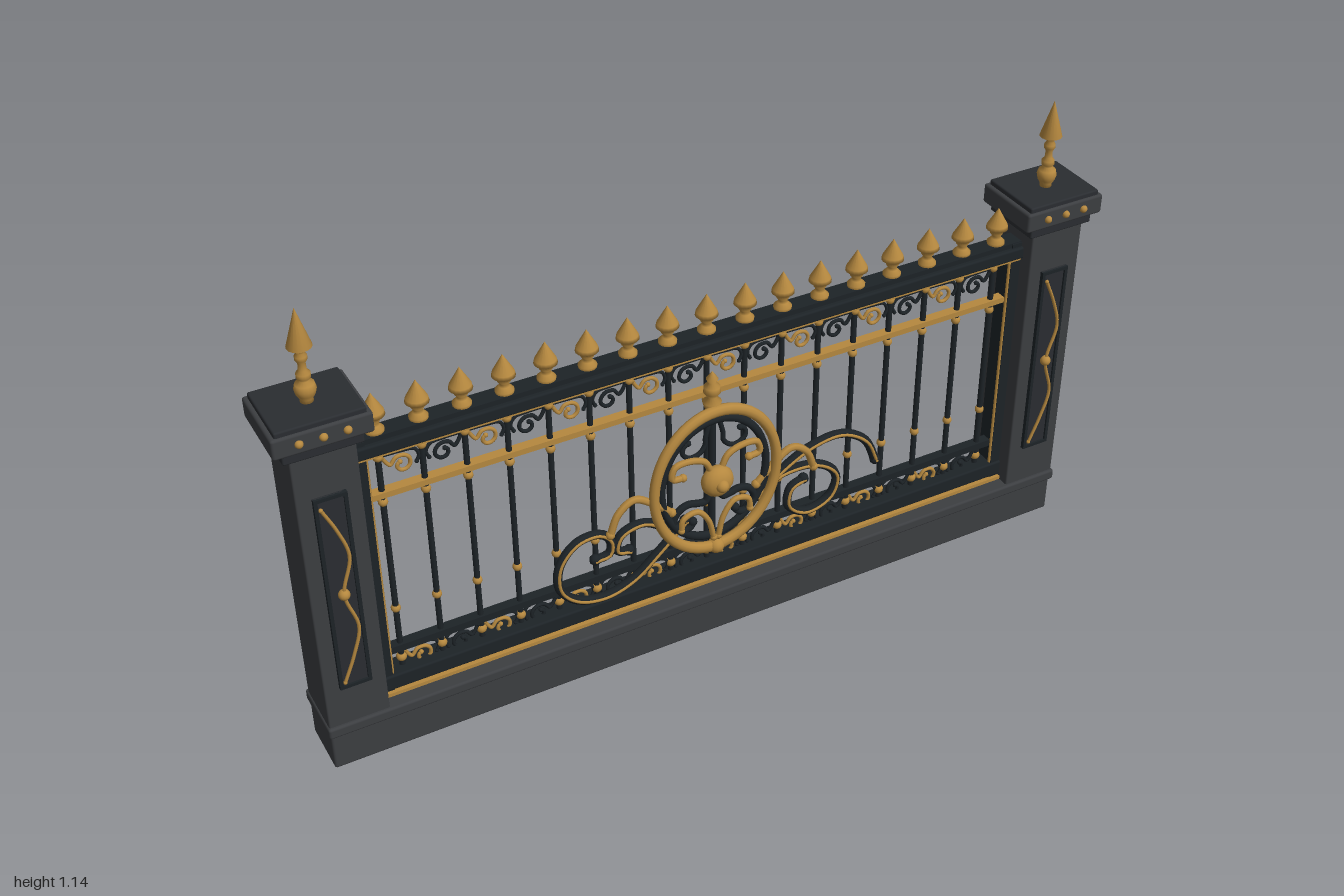
import * as THREE from 'three';
import { RoundedBoxGeometry } from 'three/addons/geometries/RoundedBoxGeometry.js';

const stone = new THREE.MeshStandardMaterial({ color: 0x3c3e41 });
const iron = new THREE.MeshStandardMaterial({ color: 0x1d2327 });
const darkStone = new THREE.MeshStandardMaterial({ color: 0x2a2d31 });
const gold = new THREE.MeshStandardMaterial({ color: 0xb5883f });

function add(parent, name, geometry, material, x = 0, y = 0, z = 0) {
  const mesh = new THREE.Mesh(geometry, material);
  mesh.name = name;
  mesh.position.set(x, y, z);
  parent.add(mesh);
  return mesh;
}

// Box given by its limits, with softened edges when r > 0
function block(parent, name, material, [x0, x1], [y0, y1], [z0, z1], r = 0) {
  const s = [x1 - x0, y1 - y0, z1 - z0];
  const geo = r ? new RoundedBoxGeometry(...s, 2, r) : new THREE.BoxGeometry(...s);
  return add(parent, name, geo, material, (x0 + x1) / 2, (y0 + y1) / 2, (z0 + z1) / 2);
}

const ball = (parent, name, r, x, y, z = 0, mat = gold) =>
  add(parent, name, new THREE.SphereGeometry(r, 14, 10), mat, x, y, z);

const lathe = (profile, sides = 16) =>
  new THREE.LatheGeometry(profile.map(p => new THREE.Vector2(...p)), sides);

// Bent bar through 2D points at depth z, with ball ends
function bar(parent, name, points, r, mat, z = 0) {
  const curve = new THREE.CatmullRomCurve3(points.map(p => new THREE.Vector3(p[0], p[1], z)));
  add(parent, name, new THREE.TubeGeometry(curve, points.length * 5, r, 7), mat);
  for (const p of [points[0], points[points.length - 1]]) {
    add(parent, name + 'End', new THREE.SphereGeometry(r * 1.25, 8, 6), mat, p[0], p[1], z);
  }
}

function spiral(cx, cy, r0, r1, a0, a1, n = 9) {
  return Array.from({ length: n + 1 }, (_, i) => {
    const t = i / n, r = r0 + (r1 - r0) * t, a = a0 + (a1 - a0) * t;
    return [cx + r * Math.cos(a), cy + r * Math.sin(a)];
  });
}

// Stone post with cap, front panel and finial
function makePost(x) {
  const post = new THREE.Group();
  post.name = 'post';
  post.position.x = x;
  block(post, 'postShaft', stone, [-0.07, 0.07], [0.12, 0.85], [-0.075, 0.062], 0.004);
  block(post, 'capNeck', darkStone, [-0.085, 0.085], [0.845, 0.875], [-0.086, 0.072], 0.004);
  block(post, 'cap', stone, [-0.105, 0.105], [0.87, 0.918], [-0.093, 0.083], 0.006);
  block(post, 'capTop', darkStone, [-0.095, 0.095], [0.912, 0.93], [-0.085, 0.077], 0.004);
  for (const dx of [-0.05, 0, 0.05]) ball(post, 'capStud', 0.009, dx, 0.895, 0.084);

  block(post, 'panel', darkStone, [-0.035, 0.035], [0.23, 0.74], [0.06, 0.067]);
  for (const s of [-1, 1]) {
    block(post, 'panelSide', iron, [s * 0.032 - 0.004, s * 0.032 + 0.004], [0.23, 0.74], [0.06, 0.072]);
    const y = 0.485 + s * 0.251;
    block(post, 'panelEnd', iron, [-0.035, 0.035], [y - 0.004, y + 0.004], [0.06, 0.072]);
  }
  bar(post, 'panelWave', [[-0.024, 0.715], [0.004, 0.65], [0.022, 0.58], [0, 0.485],
    [0.022, 0.39], [0.004, 0.32], [-0.024, 0.25]], 0.004, gold, 0.074);
  ball(post, 'panelStud', 0.013, 0, 0.485, 0.073);

  add(post, 'postFinial', lathe([[0, 0.925], [0.014, 0.925], [0.014, 0.938], [0.02, 0.948], [0.023, 0.96],
    [0.02, 0.972], [0.01, 0.979], [0.015, 0.986], [0.015, 0.996], [0.009, 1.003], [0.008, 1.02],
    [0.013, 1.028], [0.013, 1.036], [0.009, 1.043], [0.011, 1.055], [0.026, 1.058], [0, 1.145]]), gold);
  return post;
}

// Upright bar with collars and a spearhead on the top rail
function makePicket(x) {
  const picket = new THREE.Group();
  picket.name = 'picket';
  picket.position.x = x;
  add(picket, 'picketBar', new THREE.CylinderGeometry(0.007, 0.007, 0.62, 8), iron, 0, 0.47);
  ball(picket, 'lowKnob', 0.011, 0, 0.34);
  ball(picket, 'collar', 0.011, 0, 0.63);
  ball(picket, 'topKnob', 0.011, 0, 0.745);
  ball(picket, 'footKnob', 0.012, 0, 0.2);
  add(picket, 'spearhead', lathe([[0, 0.805], [0.02, 0.805], [0.021, 0.818], [0.012, 0.827], [0.01, 0.833],
    [0.015, 0.84], [0.012, 0.846], [0.026, 0.853], [0.024, 0.862], [0, 0.905]]), gold);
  return picket;
}

// Small curls filling one bay, in the upper or lower border
function bayScroll(parent, x, y, flip, mat) {
  const mirror = pts => pts.map(([px, py]) => [x + px * flip, y + py]);
  bar(parent, 'borderCurl', mirror([[-0.04, 0.03], [-0.03, 0.012],
    ...spiral(0.002, 0, 0.026, 0.008, 2.9, -4.2)]), 0.0045, mat);
  bar(parent, 'borderHook', mirror([[-0.04, 0.035], [0, 0.034], [0.03, 0.03], [0.04, 0.012], [0.034, -0.004]]), 0.004, iron);
}

// Oval centrepiece with rosette and inner scrolls
function makeCentrepiece() {
  const group = new THREE.Group();
  group.name = 'centrepiece';
  const y = 0.435;
  const ovals = [['outerOval', 0.158, 0.012, gold, 0.045], ['innerOval', 0.135, 0.009, iron, 0.036]];
  for (const [name, r, tube, mat, z] of ovals) {
    add(group, name, new THREE.TorusGeometry(r, tube, 10, 56), mat, 0, y, z).scale.y = 1.2;
  }
  add(group, 'centreStem', new THREE.CylinderGeometry(0.009, 0.009, 0.44, 8), iron, 0, 0.43, 0.025);
  const rosette = ball(group, 'rosette', 0.04, 0, y, 0.05);
  rosette.scale.z = 0.7;
  ball(group, 'rosetteBoss', 0.016, 0, y, 0.073);
  ball(group, 'ovalFoot', 0.02, 0, 0.245, 0.045);
  add(group, 'ovalCrest', lathe([[0, 0.62], [0.018, 0.625], [0.022, 0.64], [0.01, 0.652], [0.02, 0.665],
    [0.019, 0.68], [0.009, 0.69], [0.014, 0.7], [0, 0.72]]), gold, 0, 0, 0.025);

  for (const s of [-1, 1]) {
    const m = pts => pts.map(([px, py]) => [px * s, py]);
    bar(group, 'upperLeaf', m([[0.012, 0.46], [0.03, 0.495], [0.07, 0.51], [0.105, 0.505], [0.112, 0.475], [0.085, 0.47]]), 0.008, gold, 0.045);
    bar(group, 'upperScroll', m([[0.01, 0.6], [0.02, 0.565], ...spiral(0.06, 0.54, 0.04, 0.014, 2.8, 7.4)]), 0.006, iron, 0.035);
    bar(group, 'lowerScroll', m([[0.012, 0.41], [0.022, 0.375], ...spiral(0.07, 0.335, 0.05, 0.016, 2.2, -2.7)]), 0.009, iron, 0.035);
    bar(group, 'lowerLeaf', m([[0.006, 0.27], [0.02, 0.325], [0.05, 0.36], [0.085, 0.35], [0.09, 0.32]]), 0.007, gold, 0.045);
    // Gilded arches springing outside the oval
    bar(group, 'sideArch', m([[0.265, 0.37], [0.245, 0.42], [0.205, 0.447], [0.165, 0.425], [0.11, 0.375]]), 0.009, gold, 0.036);
  }

  // Unequal large scrolls on either side
  const scrolls = [
    [[-0.3, 0.305], [-0.265, 0.31], [-0.26, 0.345], [-0.29, 0.375], [-0.345, 0.37], [-0.388, 0.32], [-0.388, 0.25],
      [-0.345, 0.205], [-0.275, 0.19], [-0.205, 0.212], [-0.14, 0.265], [-0.07, 0.33]],
    [[0.445, 0.32], [0.415, 0.385], [0.345, 0.43], [0.265, 0.423], [0.18, 0.38], [0.105, 0.32], [0.06, 0.26]],
    [[0.12, 0.33], [0.18, 0.37], [0.28, 0.365], [0.335, 0.315], [0.32, 0.258], [0.255, 0.235], [0.205, 0.27],
      [0.21, 0.32], [0.245, 0.335]],
    [[-0.12, 0.33], [-0.18, 0.365], [-0.235, 0.35], [-0.245, 0.31], [-0.215, 0.3]],
  ];
  for (const points of scrolls) {
    bar(group, 'sideScroll', points, 0.011, iron, 0.025);
    bar(group, 'scrollInlay', points, 0.004, gold, 0.034);
  }
  return group;
}

export function createModel() {
  const model = new THREE.Group();
  model.name = 'fencePanel';

  // Plinth
  block(model, 'plinth', stone, [-0.962, 0.962], [0, 0.1], [-0.077, 0.06], 0.006);
  block(model, 'plinthLip', stone, [-0.967, 0.967], [0.097, 0.125], [-0.083, 0.07], 0.006);

  for (const s of [-1, 1]) {
    model.add(makePost(s * 0.893));
    block(model, 'sideFrame', iron, [s * 0.812 - 0.015, s * 0.812 + 0.015], [0.12, 0.81], [-0.025, 0.025]);
    add(model, 'sideBead', new THREE.CylinderGeometry(0.004, 0.004, 0.58, 8), gold, s * 0.796, 0.47, 0.02);
  }

  // Rails
  const span = [-0.83, 0.83];
  block(model, 'topRail', iron, span, [0.77, 0.8], [-0.033, 0.033], 0.005);
  block(model, 'topRailCrown', iron, span, [0.795, 0.812], [-0.022, 0.022]);
  block(model, 'topBead', gold, span, [0.763, 0.77], [-0.018, 0.026]);
  block(model, 'upperRail', gold, span, [0.646, 0.66], [-0.012, 0.012]);
  block(model, 'lowerRail', iron, span, [0.224, 0.242], [-0.012, 0.012]);
  block(model, 'bottomRail', iron, span, [0.138, 0.178], [-0.03, 0.03], 0.005);
  block(model, 'bottomBead', gold, span, [0.124, 0.134], [-0.025, 0.034]);

  // Pickets and the border curls between them
  const count = 17, step = 0.0956;
  for (let i = 0; i < count; i++) {
    const x = (i - (count - 1) / 2) * step;
    model.add(makePicket(x));
    if (i === count - 1) break;
    const even = i % 2 === 0;
    bayScroll(model, x + step / 2, 0.71, even ? 1 : -1, even ? gold : iron);
    bayScroll(model, x + step / 2, 0.185, even ? 1 : -1, even ? gold : iron);
  }

  model.add(makeCentrepiece());
  return model;
}
